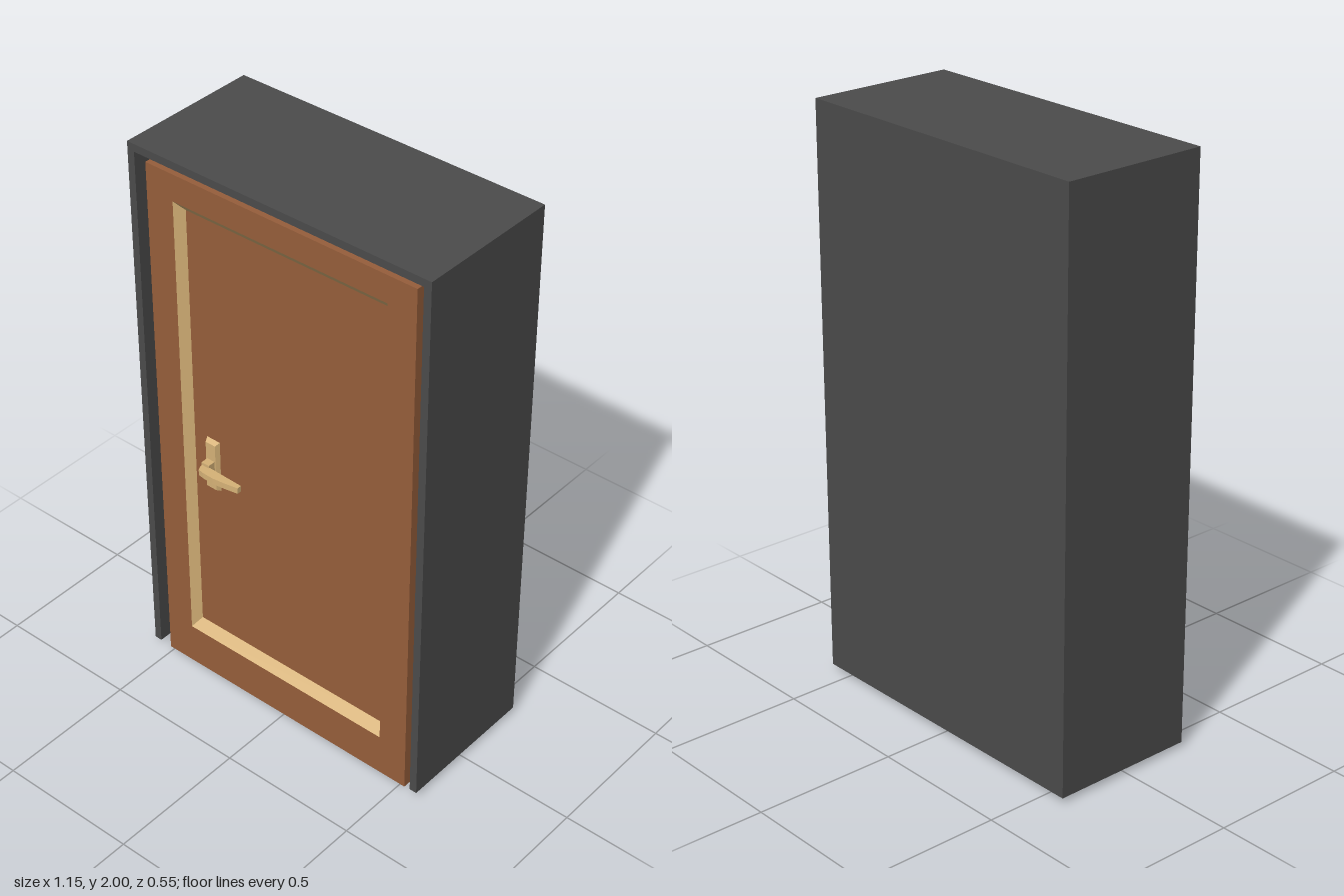
import * as THREE from 'three';

const frameMat = new THREE.MeshStandardMaterial({ color: 0x4b4b4b, name: 'charcoal' });
const woodMat = new THREE.MeshStandardMaterial({ color: 0x965e3b, name: 'brown wood' });
const brassMat = new THREE.MeshStandardMaterial({ color: 0xd6b277, name: 'brass' });

// Corners of a rectangle, counter-clockwise from lower left
const rect = (x0, x1, y0, y1) => [[x0, y0], [x1, y0], [x1, y1], [x0, y1]];
const points = (list) => list.map(([x, y]) => new THREE.Vector2(x, y));

function add(parent, name, geometry, material) {
  const mesh = new THREE.Mesh(geometry, material);
  mesh.name = name;
  parent.add(mesh);
  return mesh;
}

function box(x0, x1, y0, y1, z0, z1) {
  return new THREE.BoxGeometry(x1 - x0, y1 - y0, z1 - z0)
    .translate((x0 + x1) / 2, (y0 + y1) / 2, (z0 + z1) / 2);
}

function extrude(outline, z0, z1, hole) {
  const shape = new THREE.Shape(points(outline));
  if (hole) shape.holes.push(new THREE.Path(points(hole)));
  return new THREE.ExtrudeGeometry(shape, { depth: z1 - z0, bevelEnabled: false }).translate(0, 0, z0);
}

// Sloping band between an outer and an inner outline, facing forwards
function band(outer, zOuter, inner, zInner) {
  const pos = [];
  for (let i = 0; i < outer.length; i++) {
    const j = (i + 1) % outer.length;
    const a = [...outer[i], zOuter], b = [...outer[j], zOuter];
    const c = [...inner[j], zInner], d = [...inner[i], zInner];
    pos.push(...a, ...b, ...c, ...a, ...c, ...d);
  }
  const geometry = new THREE.BufferGeometry();
  geometry.setAttribute('position', new THREE.Float32BufferAttribute(pos, 3));
  geometry.computeVertexNormals();
  return geometry;
}

export function createModel() {
  const model = new THREE.Group();
  model.name = 'door';

  // Surround: solid block with a shallow jamb, open at the bottom
  const surround = new THREE.Group();
  surround.name = 'surround';
  model.add(surround);
  add(surround, 'wallBlock', box(-0.577, 0.577, 0.02, 2, -0.275, 0.12), frameMat);
  add(surround, 'jamb', extrude([
    [-0.577, 0.02], [-0.55, 0.02], [-0.55, 1.973], [0.55, 1.973],
    [0.55, 0.02], [0.577, 0.02], [0.577, 2], [-0.577, 2],
  ], 0.12, 0.243), frameMat);

  // Door leaf with a sunken panel and a brass moulding
  const leaf = new THREE.Group();
  leaf.name = 'doorLeaf';
  model.add(leaf);
  const outer = rect(-0.412, 0.412, 0.155, 1.85);
  const inner = rect(-0.388, 0.388, 0.19, 1.815);
  add(leaf, 'leafBorder', extrude(rect(-0.518, 0.518, 0, 1.945), 0.12, 0.23, outer), woodMat);
  add(leaf, 'sunkenPanel', box(-0.412, 0.412, 0.155, 1.85, 0.12, 0.2), woodMat);
  add(leaf, 'moulding', band(outer, 0.23, inner, 0.2), brassMat);

  // Handle: bevelled plate, neck and curved lever
  const handle = new THREE.Group();
  handle.name = 'handle';
  model.add(handle);
  const plateOuter = rect(-0.335, -0.281, 0.795, 0.99);
  const plateInner = rect(-0.328, -0.288, 0.804, 0.981);
  add(handle, 'plateEdge', band(plateOuter, 0.2, plateInner, 0.216), brassMat);
  add(handle, 'plateFace', extrude(plateInner, 0.205, 0.216), brassMat);
  add(handle, 'neck', box(-0.323, -0.292, 0.882, 0.917, 0.214, 0.243), brassMat);
  const lever = extrude([
    [-0.322, 0.238], [-0.155, 0.243], [-0.155, 0.259], [-0.205, 0.268],
    [-0.25, 0.273], [-0.29, 0.272], [-0.313, 0.268], [-0.321, 0.25],
  ], 0, 0.022).rotateX(Math.PI / 2).translate(0, 0.907, 0);
  add(handle, 'lever', lever, brassMat);

  return model;
}
